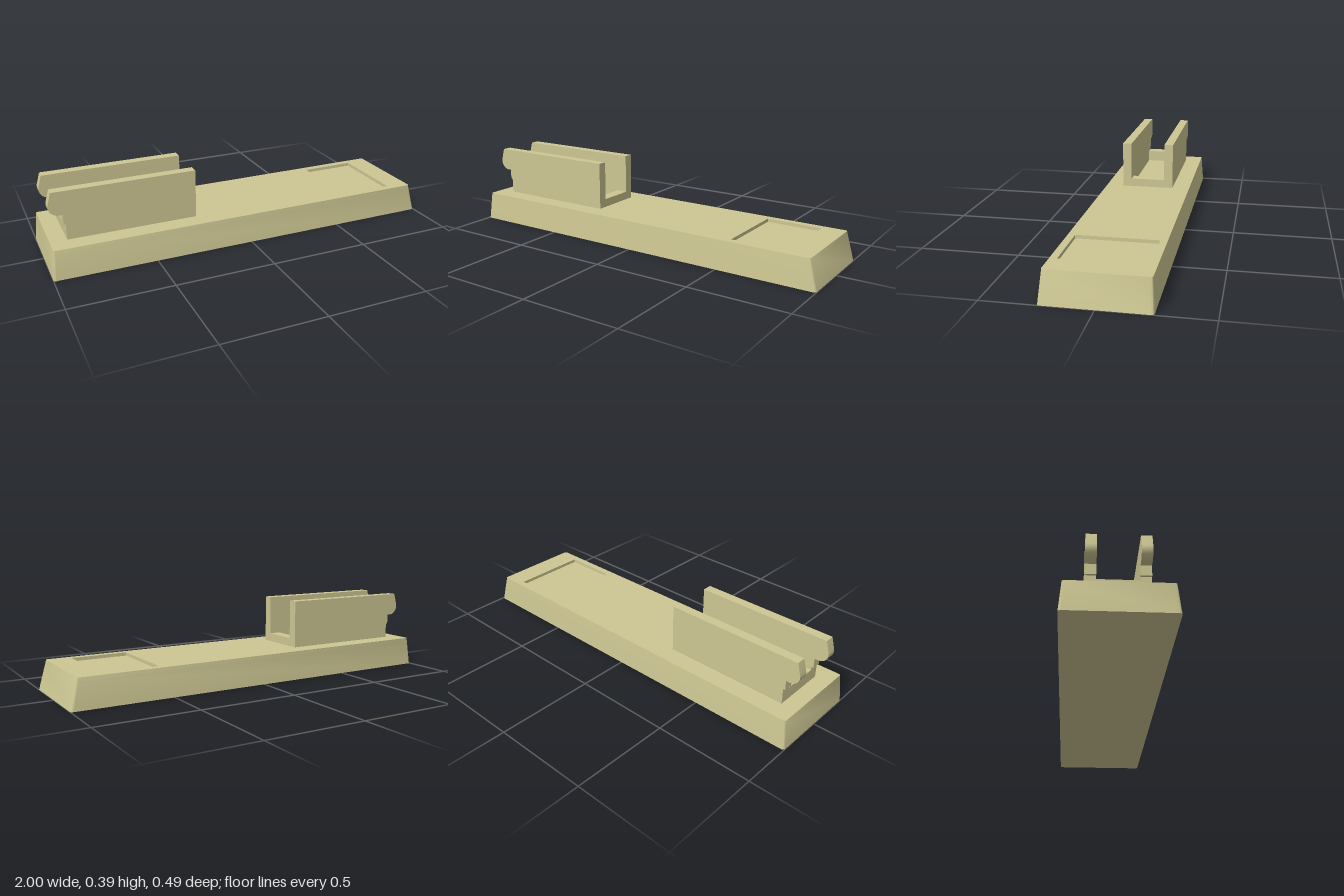
import * as THREE from 'three';
import { toCreasedNormals } from 'three/addons/utils/BufferGeometryUtils.js';

const TOP = 0.147, RECESS_FLOOR = 0.13;
const material = new THREE.MeshStandardMaterial({ color: 0xcdc793 });

function addMesh(parent, name, geometry) {
  const mesh = new THREE.Mesh(geometry, material);
  mesh.name = name;
  parent.add(mesh);
  return mesh;
}

function addBox(parent, name, x0, x1, y0, y1, z0, z1) {
  const mesh = addMesh(parent, name, new THREE.BoxGeometry(x1 - x0, y1 - y0, z1 - z0));
  mesh.position.set((x0 + x1) / 2, (y0 + y1) / 2, (z0 + z1) / 2);
  return mesh;
}

// Footprint of the base with slightly rounded corners
function footprint() {
  const w = 1, d = 0.245, r = 0.012;
  const s = new THREE.Shape();
  s.moveTo(-w + r, -d);
  s.lineTo(w - r, -d);
  s.absarc(w - r, -d + r, r, -Math.PI / 2, 0);
  s.lineTo(w, d - r);
  s.absarc(w - r, d - r, r, 0, Math.PI / 2);
  s.lineTo(-w + r, d);
  s.absarc(-w + r, d - r, r, Math.PI / 2, Math.PI);
  s.lineTo(-w, -d + r);
  s.absarc(-w + r, -d + r, r, Math.PI, Math.PI * 1.5);
  return s;
}

// Slab from y0 to y1 whose outer walls lean inwards; a hole stays upright
function taperedSlab(shape, y0, y1) {
  const g = new THREE.ExtrudeGeometry(shape, { depth: y1 - y0, bevelEnabled: false, curveSegments: 4 });
  g.rotateX(-Math.PI / 2).translate(0, y0, 0);
  const p = g.attributes.position;
  for (let i = 0; i < p.count; i++) {
    const x = p.getX(i), z = p.getZ(i), t = p.getY(i) / TOP;
    if (Math.abs(z) < 0.21 && Math.abs(x) < 0.9) continue;
    p.setX(i, x * (1 - 0.0265 * t) - 0.0115 * t);
    p.setZ(i, z * (1 - 0.049 * t));
  }
  return toCreasedNormals(g, 0.6);
}

// Side profile of a cradle wall, with a rounded hook at its left end
function wallShape() {
  const s = new THREE.Shape();
  s.moveTo(-0.26, TOP);
  s.lineTo(-0.26, 0.392);
  s.lineTo(-0.96, 0.392);
  s.lineTo(-0.977, 0.332);
  s.bezierCurveTo(-0.983, 0.302, -0.96, 0.275, -0.93, 0.275);
  s.lineTo(-0.913, 0.275);
  s.lineTo(-0.913, 0.225);
  s.lineTo(-0.903, 0.225);
  s.lineTo(-0.903, TOP);
  return s;
}

export function createModel() {
  const model = new THREE.Group();

  // Base: solid lower slab and an upper slab with the rectangular recess
  const base = new THREE.Group();
  base.name = 'base';
  addMesh(base, 'baseLower', taperedSlab(footprint(), 0, RECESS_FLOOR));
  const upper = footprint();
  upper.holes.push(new THREE.Path([[0.557, -0.198], [0.557, 0.198], [0.843, 0.198], [0.843, -0.198]]
    .map(([x, y]) => new THREE.Vector2(x, y))));
  addMesh(base, 'baseUpperWithRecess', taperedSlab(upper, RECESS_FLOOR, TOP));
  model.add(base);

  // Cradle: two hooked walls joined by a low bar at each end
  const cradle = new THREE.Group();
  cradle.name = 'cradle';
  const wall = toCreasedNormals(new THREE.ExtrudeGeometry(wallShape(),
    { depth: 0.048, bevelEnabled: false, curveSegments: 10 }), 0.5);
  addMesh(cradle, 'frontWall', wall).position.z = 0.092;
  addMesh(cradle, 'backWall', wall).position.z = -0.14;
  addBox(cradle, 'rightBar', -0.903, -0.845, TOP, 0.208, -0.092, 0.092);
  addBox(cradle, 'leftBar', -0.32, -0.26, TOP, 0.19, -0.092, 0.092);
  model.add(cradle);

  return model;
}
